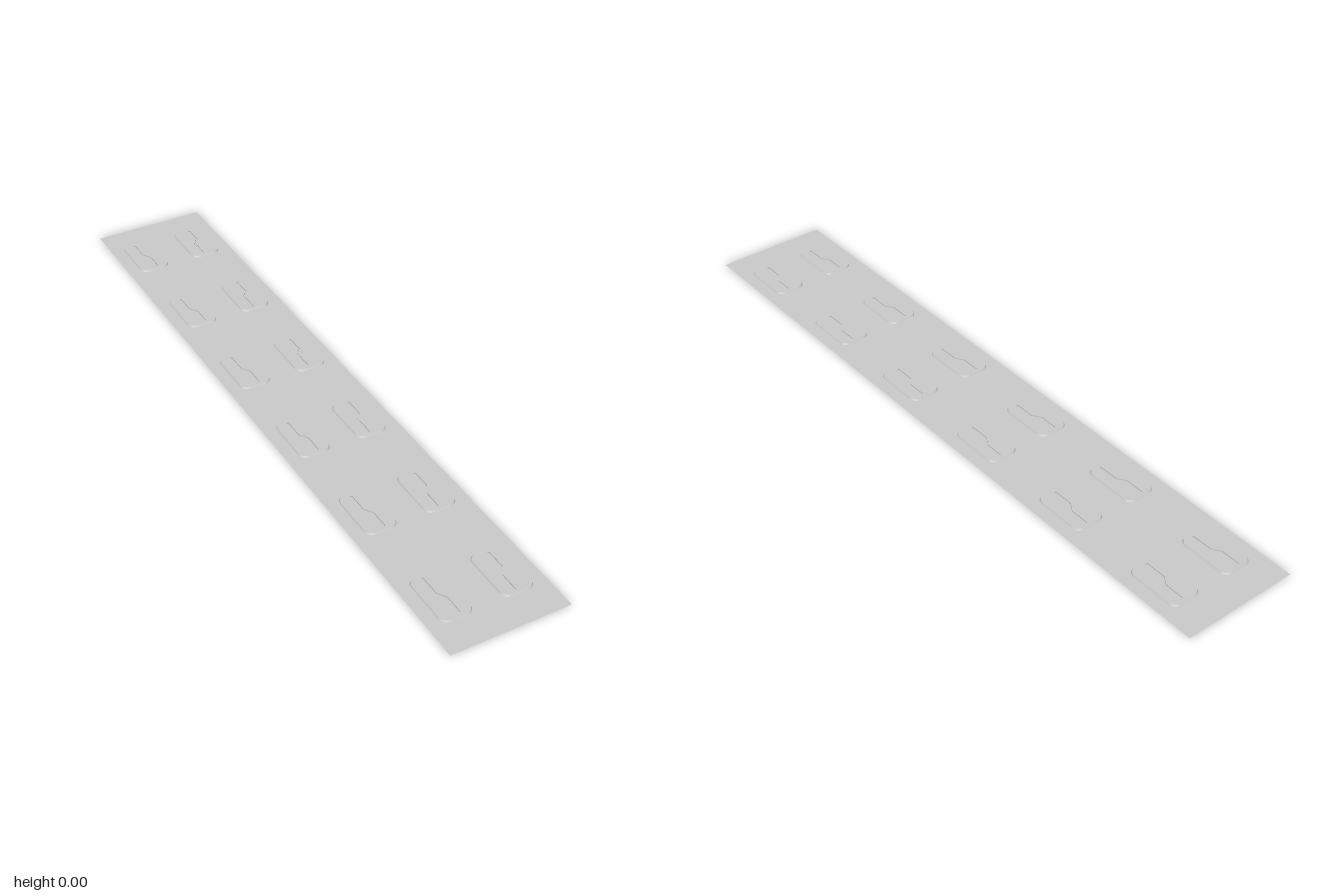
import * as THREE from 'three';
import { mergeGeometries } from 'three/addons/utils/BufferGeometryUtils.js';

const ROWS = 6, HALF_W = 1 / 6, HALF_L = 1;
const PAD_X = 0.085, PAD_W = 0.09, PAD_L = 0.16, HEIGHT = 0.0045;

// Rounded rectangle outline; plan y points to the back of the model
function roundedOutline(cx, cy, w, l, r) {
  const pts = [];
  const corners = [[1, 1], [-1, 1], [-1, -1], [1, -1]];
  corners.forEach(([sx, sy], i) => {
    for (let k = 0; k <= 4; k++) {
      const a = (i + k / 4) * Math.PI / 2;
      pts.push(new THREE.Vector2(
        cx + sx * (w / 2 - r) + r * Math.cos(a),
        cy + sy * (l / 2 - r) + r * Math.sin(a)));
    }
  });
  return pts;
}

// Lengthwise groove with a sideways jog in its middle
function grooveOutline(cx, cy, side) {
  const path = [[-0.008, -0.068], [-0.008, -0.012], [0.008, 0.012], [0.008, 0.068]];
  const edge = (dx) => path.map(([x, y]) => new THREE.Vector2(cx + side * (x + dx), cy + y));
  return [...edge(0.003), ...edge(-0.003).reverse()];
}

// Flat plate from an outline with holes, at height y
function plate(outline, y, holes = []) {
  const shape = new THREE.Shape(outline);
  shape.holes = holes.map((h) => new THREE.Path(h));
  const g = new THREE.ShapeGeometry(shape).toNonIndexed();
  g.deleteAttribute('uv');
  return g.rotateX(-Math.PI / 2).translate(0, y, 0);
}

// Wall joining a lower outline to an upper one
function wall(low, yLow, high, yHigh) {
  const pos = [];
  low.forEach((a, i) => {
    const j = (i + 1) % low.length;
    const b = low[j], c = high[j], d = high[i];
    const A = [a.x, yLow, -a.y], B = [b.x, yLow, -b.y];
    const C = [c.x, yHigh, -c.y], D = [d.x, yHigh, -d.y];
    pos.push(...A, ...B, ...C, ...A, ...C, ...D);
  });
  const g = new THREE.BufferGeometry();
  g.setAttribute('position', new THREE.Float32BufferAttribute(pos, 3));
  g.computeVertexNormals();
  return g;
}

export function createModel() {
  const model = new THREE.Group();
  model.name = 'embossedStrip';
  const material = new THREE.MeshStandardMaterial({
    color: 0xcccccc, flatShading: true, side: THREE.DoubleSide });
  const add = (geometry, name) => {
    const mesh = new THREE.Mesh(geometry, material);
    mesh.name = name;
    model.add(mesh);
  };

  // Raised pads: two mirrored columns of six
  const footprints = [];
  for (const side of [-1, 1]) {
    for (let i = 0; i < ROWS; i++) {
      const cx = side * PAD_X, cy = (i + 0.5) * 2 * HALF_L / ROWS - HALF_L;
      const foot = roundedOutline(cx, cy, PAD_W, PAD_L, 0.022);
      const rim = roundedOutline(cx, cy, PAD_W - 0.004, PAD_L - 0.006, 0.02);
      const groove = grooveOutline(cx, cy, side);
      footprints.push(foot);
      add(mergeGeometries([
        wall(foot, 0, rim, HEIGHT),
        plate(rim, HEIGHT, [groove]),
        wall(groove, 0.001, groove, HEIGHT),
        plate(groove, 0.001),
      ]), `${side > 0 ? 'left' : 'right'}Pad${i + 1}`);
    }
  }

  // Thin sheet, open beneath each hollow pad
  const border = [[-1, -1], [1, -1], [1, 1], [-1, 1]]
    .map(([x, y]) => new THREE.Vector2(x * HALF_W, y * HALF_L));
  add(plate(border, 0, footprints), 'sheet');
  return model;
}
